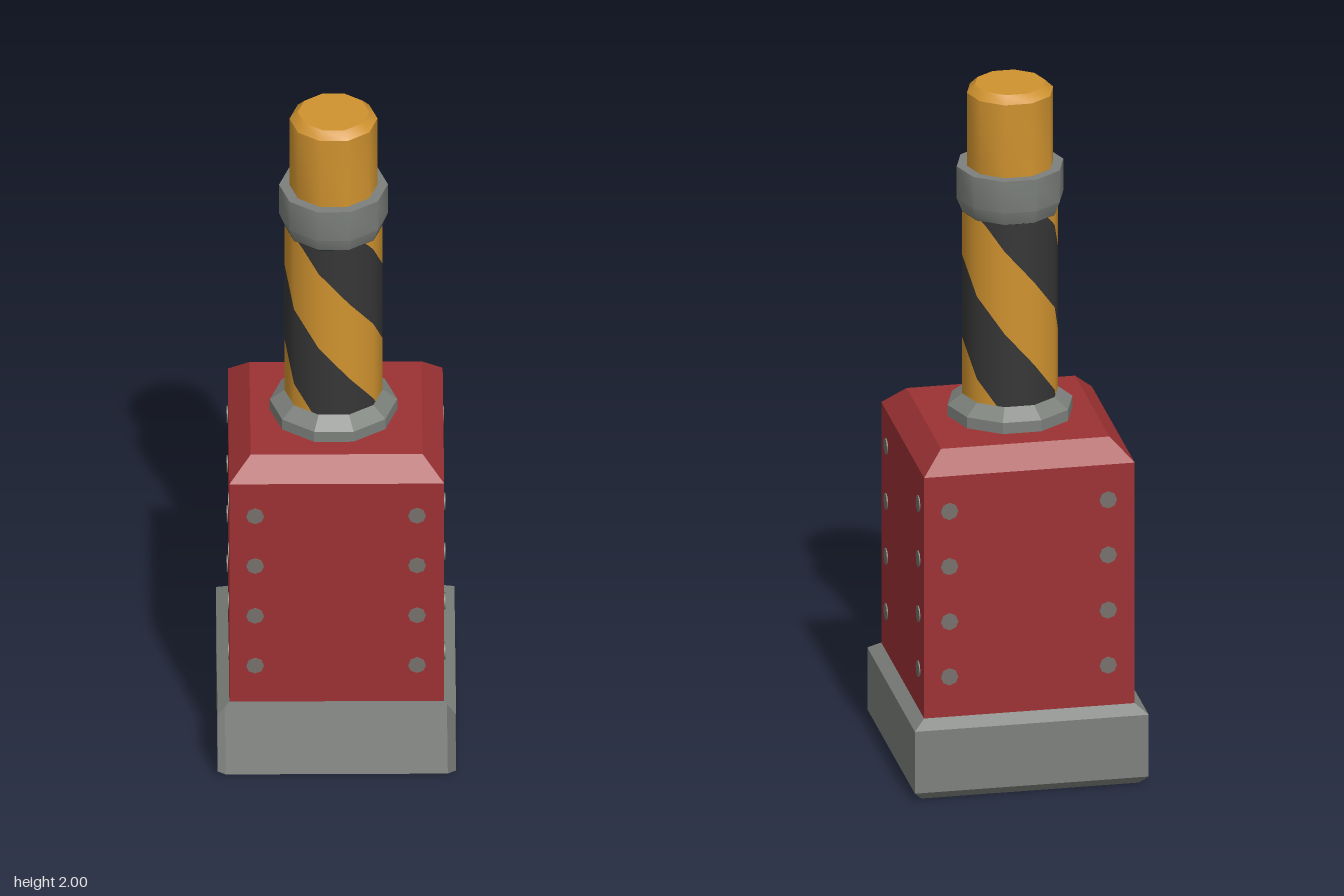
import * as THREE from 'three';
import { toCreasedNormals } from 'three/addons/utils/BufferGeometryUtils.js';

const material = (name, color, side = THREE.FrontSide) => {
  const m = new THREE.MeshStandardMaterial({ color, side });
  m.name = name;
  return m;
};

// Turned part from [radius, y] pairs listed bottom to top; creases sharper than the given angle stay hard
function turned(profile, sides, start, length = Math.PI * 2, crease = 0.65) {
  const points = profile.map(([r, y]) => new THREE.Vector2(r, y));
  return toCreasedNormals(new THREE.LatheGeometry(points, sides, start, length), crease);
}

// Square part from [halfWidth, y] pairs; leaving out a wall opens it towards +z
function squared(profile, walls = 4) {
  const points = profile.map(([h, y]) => [h * Math.SQRT2, y]);
  return turned(points, walls, Math.PI / 4, walls * Math.PI / 2, 0.01);
}

const SIDES = 10;
const STEP = Math.PI * 2 / SIDES;

// Helical bands on a ten-sided column: the parity picks which of the two colours is built
function helixBands(radius, bottom, top, parity) {
  const positions = [], normals = [], split = 6;
  const rate = 365, phase = 47;
  const corner = i => {
    const a = STEP / 2 + i * STEP;
    return new THREE.Vector2(Math.sin(a), Math.cos(a)).multiplyScalar(radius);
  };
  const rim = i => {
    const side = Math.floor(i / split);
    return corner(side).lerp(corner(side + 1), (i % split) / split);
  };
  const edge = (i, k) => {
    const degrees = (STEP / 2 + i * STEP / split) * 180 / Math.PI;
    return THREE.MathUtils.clamp(top - (degrees + phase + 90 * k) / rate, bottom, top);
  };
  const add = (p, y) => {
    const n = p.clone().normalize();
    positions.push(p.x, y, p.y);
    normals.push(n.x, 0, n.y);
  };
  for (let i = 0; i < SIDES * split; i++) {
    const p = rim(i), q = rim(i + 1);
    for (let k = -8; k <= 4; k++) {
      if (Math.abs(k % 2) !== parity) continue;
      const pTop = edge(i, k), pLow = edge(i, k + 1);
      const qTop = edge(i + 1, k), qLow = edge(i + 1, k + 1);
      if (pTop - pLow + qTop - qLow < 1e-6) continue;
      add(p, pLow); add(q, qLow); add(q, qTop);
      add(p, pLow); add(q, qTop); add(p, pTop);
    }
  }
  const geometry = new THREE.BufferGeometry();
  geometry.setAttribute('position', new THREE.Float32BufferAttribute(positions, 3));
  geometry.setAttribute('normal', new THREE.Float32BufferAttribute(normals, 3));
  return geometry;
}

export function createModel() {
  const model = new THREE.Group();
  model.name = 'piston';

  const red = material('red paint', 0x9c3133);
  const grey = material('grey metal', 0x7c807b, THREE.DoubleSide);
  const orange = material('orange paint', 0xcf922f);
  const black = material('black paint', 0x363636);
  const rivetGrey = material('rivet metal', 0x76706a);

  const add = (parent, name, geometry, mat) => {
    const mesh = new THREE.Mesh(geometry, mat);
    mesh.name = name;
    parent.add(mesh);
    return mesh;
  };

  // Base tray: three bevelled walls, open at the front, and a floor
  add(model, 'baseWalls', squared([[0.31, 0], [0.333, 0.025], [0.333, 0.21], [0.3, 0.235]], 3), grey);
  add(model, 'baseFloor', new THREE.PlaneGeometry(0.62, 0.62).rotateX(Math.PI / 2), grey);

  // Housing with a chamfered top
  add(model, 'housing', squared([[0, 0.235], [0.3, 0.235], [0.3, 0.955], [0.24, 1.015], [0, 1.015]]), red);

  // Two columns of rivets on each of the four sides
  const rivet = new THREE.CylinderGeometry(0.025, 0.025, 0.005, 8).rotateX(Math.PI / 2);
  for (let side = 0; side < 4; side++) {
    const panel = new THREE.Group();
    panel.name = 'rivetPanel';
    panel.rotation.y = side * Math.PI / 2;
    model.add(panel);
    for (const x of [-0.228, 0.224]) {
      for (let row = 0; row < 4; row++) {
        add(panel, 'rivet', rivet, rivetGrey).position.set(x, 0.355 + row * 0.165, 0.301);
      }
    }
  }

  // Piston column, slightly off centre
  const column = new THREE.Group();
  column.name = 'column';
  column.position.set(-0.007, 0, 0.006);
  model.add(column);
  const ring = (profile, crease) => turned(profile, SIDES, STEP / 2, Math.PI * 2, crease);

  add(column, 'flange', ring([[0.178, 1.01], [0.178, 1.048], [0.137, 1.08]], 0.01), grey);
  add(column, 'shaft', helixBands(0.137, 1.07, 1.625, 0), orange);
  add(column, 'shaftStripes', helixBands(0.137, 1.07, 1.625, 1), black);
  add(column, 'collar', ring([[0.136, 1.625], [0.152, 1.665], [0.152, 1.76], [0.12, 1.76]]), grey);
  add(column, 'rod', ring([[0.123, 1.75], [0.123, 1.978], [0.1, 2], [0, 2]]), orange);

  return model;
}
